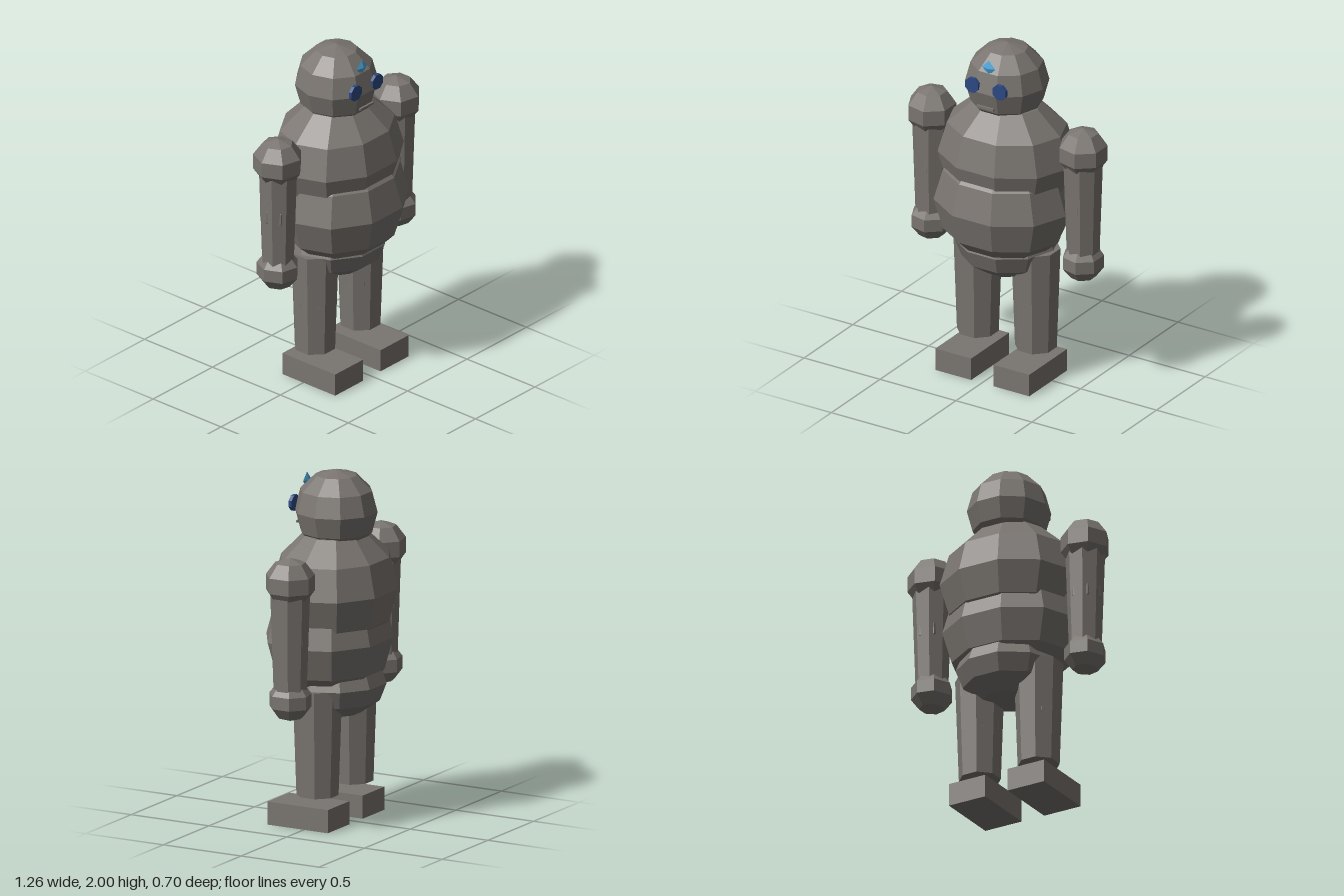
import * as THREE from 'three';

export function createModel() {
  const root = new THREE.Group();
  const material = (name, color) => {
    const m = new THREE.MeshStandardMaterial({ color, flatShading: true });
    m.name = name;
    return m;
  };
  const stone = material('stone', 0x7a7570);
  const eyeBlue = material('eye blue', 0x2b4a85);
  const gemBlue = material('gem blue', 0x4aa8e0);

  const add = (name, geometry, mat, x, y, z, parent = root) => {
    const mesh = new THREE.Mesh(geometry, mat);
    mesh.name = name;
    mesh.position.set(x, y, z);
    parent.add(mesh);
    return mesh;
  };
  // Faceted boulder, scaled to the given radii
  const boulder = (rx, ry, rz, sides = 10, rings = 6) =>
    new THREE.SphereGeometry(1, sides, rings).scale(rx, ry, rz);
  // Eight-sided limb with a flat face to the front
  const limb = (rTop, rBottom, height) =>
    new THREE.CylinderGeometry(rTop, rBottom, height, 8).rotateY(Math.PI / 8);

  // Body
  add('head', boulder(0.235, 0.235, 0.235), stone, 0, 1.765, -0.025);
  add('chest', boulder(0.405, 0.36, 0.345), stone, 0.003, 1.325, -0.02);
  add('belly', boulder(0.408, 0.36, 0.35), stone, 0.003, 1.045, 0.015);
  add('hips', boulder(0.3, 0.2, 0.285), stone, 0.003, 0.79, -0.025);

  // Face
  const eye = new THREE.CylinderGeometry(0.047, 0.047, 0.02, 8)
    .rotateY(Math.PI / 8).rotateX(Math.PI / 2);
  add('leftEye', eye, eyeBlue, 0.092, 1.8, 0.192);
  add('rightEye', eye, eyeBlue, -0.088, 1.8, 0.192);
  add('foreheadGem', new THREE.OctahedronGeometry(1).scale(0.043, 0.046, 0.014),
    gemBlue, 0, 1.914, 0.163);
  add('mouth', new THREE.BoxGeometry(0.11, 0.013, 0.012), stone, 0, 1.682, 0.197);

  for (const [label, s] of [['left', 1], ['right', -1]]) {
    // Arm
    const arm = new THREE.Group();
    arm.name = label + 'Arm';
    arm.position.set(s * 0.498 + 0.004, 0, -0.023);
    root.add(arm);
    add('shoulder', boulder(0.144, 0.144, 0.147, 7, 5), stone, 0, 1.455, 0, arm);
    add('armShaft', limb(0.112, 0.093, 0.57), stone, 0, 1.125, 0, arm);
    add('elbow', boulder(0.104, 0.104, 0.104, 7, 5), stone, 0, 1.14, 0, arm);
    add('hand', boulder(0.122, 0.118, 0.128, 7, 5), stone, 0, 0.785, 0, arm);

    // Leg
    const leg = new THREE.Group();
    leg.name = label + 'Leg';
    leg.position.set(s * 0.191 + 0.003, 0, -0.018);
    root.add(leg);
    add('legShaft', limb(0.139, 0.118, 0.61), stone, 0, 0.485, 0, leg);
    add('knee', boulder(0.126, 0.126, 0.126, 7, 5), stone, 0, 0.5, 0, leg);
    add('foot', new THREE.BoxGeometry(0.236, 0.132, 0.388), stone, 0, 0.066, 0.058, leg);
  }
  return root;
}
